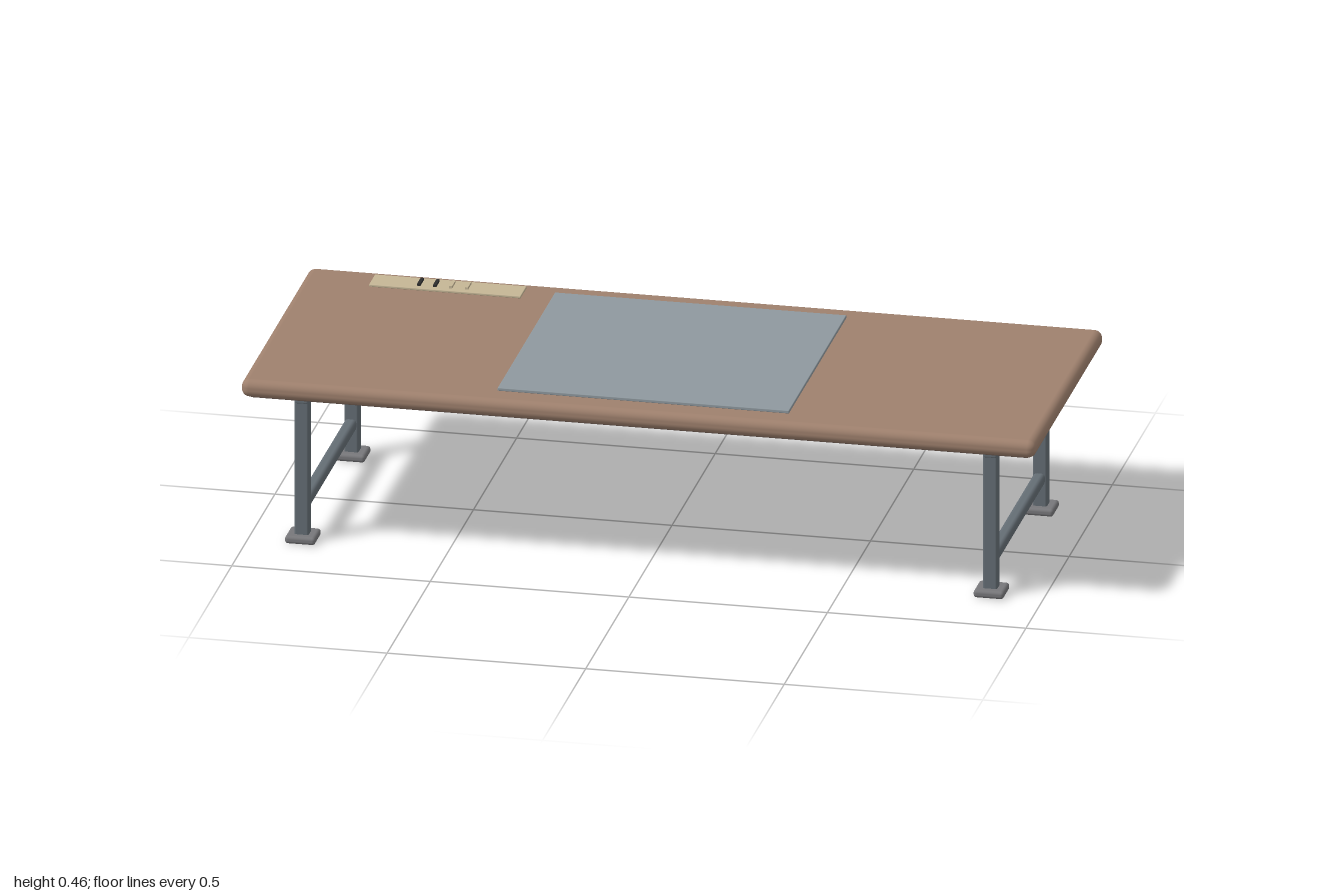
import * as THREE from 'three';
import { RoundedBoxGeometry } from 'three/addons/geometries/RoundedBoxGeometry.js';

const paint = (color) => new THREE.MeshStandardMaterial({ color });
const wood = paint(0x9e806d);
const underside = paint(0x5c4d45);
const steel = paint(0x646d74);
const rubber = paint(0x77777a);
const matGrey = paint(0x8e989e);
const tan = paint(0xc4b595);
const dark = paint(0x2c2c2c);

// Box given by its [min, max] range on each axis, with optionally rounded edges
function block(name, material, [x0, x1], [y0, y1], [z0, z1], radius = 0) {
  const size = [x1 - x0, y1 - y0, z1 - z0];
  const geometry = radius
    ? new RoundedBoxGeometry(...size, 4, radius)
    : new THREE.BoxGeometry(...size);
  const mesh = new THREE.Mesh(geometry, material);
  mesh.name = name;
  mesh.position.set((x0 + x1) / 2, (y0 + y1) / 2, (z0 + z1) / 2);
  return mesh;
}

// Leg frame: two posts with feet, joined by a top rail and a lower stretcher
function legFrame(name, x) {
  const frame = new THREE.Group();
  frame.name = name;
  const across = (half) => [x - half, x + half];
  for (const side of [1, -1]) {
    const z = side * 0.288;
    const end = side > 0 ? 'front' : 'back';
    frame.add(
      block(end + 'Leg', steel, across(0.018), [0.015, 0.4], [z - 0.018, z + 0.018], 0.005),
      block(end + 'Foot', rubber, across(0.038), [0, 0.02], [z - 0.038, z + 0.038], 0.008)
    );
  }
  frame.add(
    block('topRail', steel, across(0.018), [0.363, 0.403], [-0.307, 0.307], 0.006),
    block('stretcher', steel, across(0.015), [0.079, 0.109], [-0.271, 0.271], 0.01)
  );
  return frame;
}

export function createModel() {
  const desk = new THREE.Group();
  desk.name = 'desk';

  // Table top and the thin panel under it
  desk.add(
    block('tableTop', wood, [-1, 1], [0.405, 0.451], [-0.4, 0.4], 0.02),
    block('undersidePanel', underside, [-0.978, 0.978], [0.401, 0.408], [-0.378, 0.378])
  );

  desk.add(legFrame('leftLegFrame', 0.867), legFrame('rightLegFrame', -0.867));

  // Cable tray hanging near the back edge
  desk.add(block('cableTray', steel, [-0.382, 0.382], [0.358, 0.38], [-0.32, -0.21], 0.008));

  // Desk mat
  desk.add(block('deskMat', matGrey, [-0.367, 0.367], [0.4505, 0.459], [-0.333, 0.333], 0.002));

  // Organiser strip with four slim bars on it
  const organiser = new THREE.Group();
  organiser.name = 'organiser';
  organiser.add(block('organiserBase', tan, [-0.827, -0.445], [0.4505, 0.457], [-0.364, -0.293], 0.002));
  [dark, dark, tan, tan].forEach((material, i) => {
    const x = -0.705 + i * 0.04;
    organiser.add(block('organiserBar' + (i + 1), material, [x - 0.004, x + 0.004], [0.456, 0.463], [-0.35, -0.309]));
  });
  desk.add(organiser);

  return desk;
}
